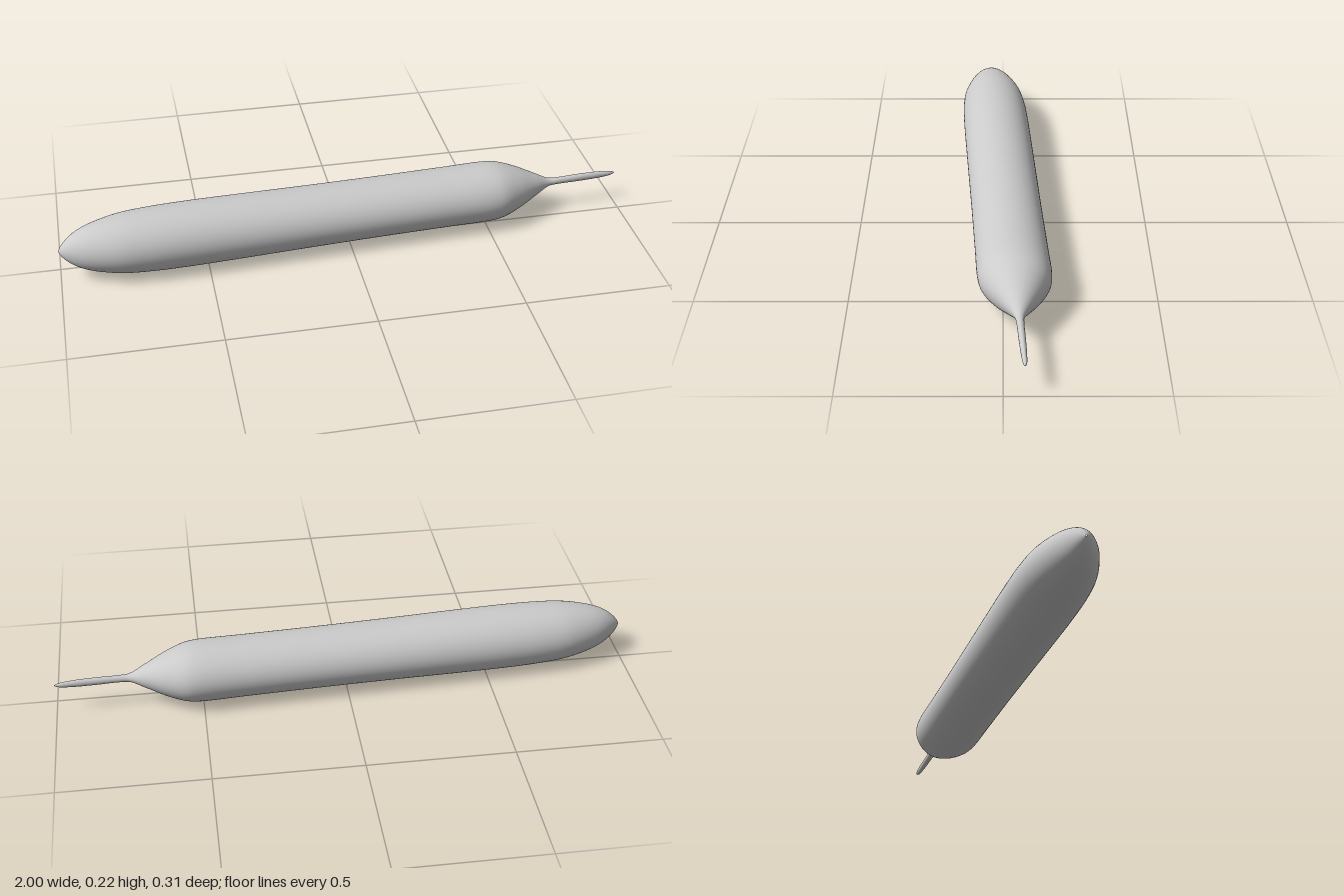
import * as THREE from 'three';

const SIDES = 64, STEPS = 160;

// Cross-sections along the length: x, half height, half depth
const SECTIONS = [
  [-1, 0.002, 0.002], [-0.985, 0.025, 0.022], [-0.95, 0.055, 0.05], [-0.9, 0.077, 0.077],
  [-0.8, 0.098, 0.108], [-0.7, 0.105, 0.119], [-0.58, 0.1075, 0.122], [-0.4, 0.106, 0.122],
  [-0.15, 0.102, 0.121], [0.1, 0.1, 0.12], [0.35, 0.1, 0.12], [0.52, 0.1, 0.119],
  [0.56, 0.094, 0.112], [0.62, 0.074, 0.085], [0.69, 0.041, 0.045], [0.745, 0.015, 0.016],
  [0.78, 0.0125, 0.012], [0.86, 0.0135, 0.011], [0.94, 0.012, 0.009], [0.985, 0.007, 0.006],
  [1, 0.001, 0.001],
];

// The centre line runs slightly askew and flattens out along the tail
const centreZ = (x) => (x < 0.75 ? -0.007 - 0.058 * x : -0.0505 - 0.056 * (x - 0.75));
const centreY = (x) => 0.11 + 0.002 * THREE.MathUtils.smoothstep(x, 0.6, 0.9);

// Smooth skin of elliptical rings through the sections
function skin() {
  const curve = new THREE.CatmullRomCurve3(SECTIONS.map((s) => new THREE.Vector3(...s)));
  const positions = [], indices = [];
  for (let i = 0; i <= STEPS; i++) {
    const p = curve.getPoint(i / STEPS);
    for (let j = 0; j < SIDES; j++) {
      const a = (j / SIDES) * Math.PI * 2;
      positions.push(p.x, centreY(p.x) + p.y * Math.cos(a), centreZ(p.x) + p.z * Math.sin(a));
      if (i === STEPS) continue;
      const k = (j + 1) % SIDES, row = i * SIDES, next = row + SIDES;
      indices.push(row + j, row + k, next + j, row + k, next + k, next + j);
    }
  }
  const geometry = new THREE.BufferGeometry();
  geometry.setAttribute('position', new THREE.Float32BufferAttribute(positions, 3));
  geometry.setIndex(indices);
  geometry.computeVertexNormals();
  return geometry;
}

export function createModel() {
  const group = new THREE.Group();
  // Long body with pointed nose, narrowing into a thin tail
  const body = new THREE.Mesh(skin(), new THREE.MeshStandardMaterial({ color: 0xcccccc }));
  body.name = 'bodyWithTail';
  group.add(body);
  return group;
}
